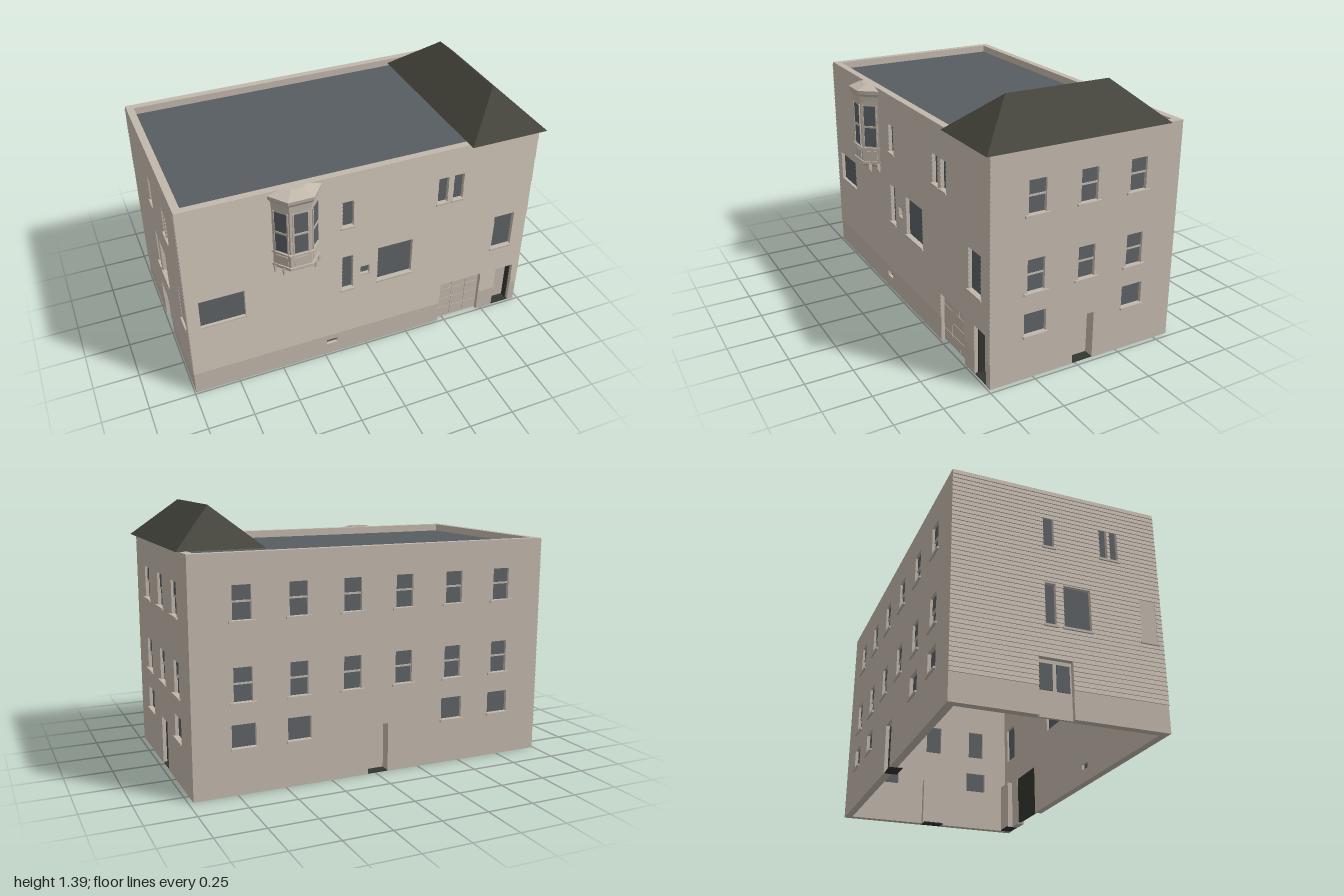
import * as THREE from 'three';
import { mergeGeometries } from 'three/addons/utils/BufferGeometryUtils.js';

const mat = (name, color) => Object.assign(new THREE.MeshStandardMaterial({ color }), { name });
const T = 0.04; // wall thickness
const H = 1.19; // parapet height

export function createModel() {
  const beige = mat('beige render', 0xc2b8ac);
  const glass = mat('window glass', 0x5d6266);
  const deck = mat('flat roof grey', 0x585d61);
  const tile = mat('dark roof tile', 0x45453d);
  const dark = mat('dark door trim', 0x33352f);

  const model = new THREE.Group();
  model.name = 'building';

  function add(parent, name, geometry, material) {
    const mesh = new THREE.Mesh(geometry, material);
    mesh.name = name;
    parent.add(mesh);
    return mesh;
  }
  // Box given by its extents
  function box(parent, name, material, x0, x1, y0, y1, z0, z1) {
    const g = new THREE.BoxGeometry(x1 - x0, y1 - y0, z1 - z0);
    g.translate((x0 + x1) / 2, (y0 + y1) / 2, (z0 + z1) / 2);
    return add(parent, name, g, material);
  }
  // Flat-faced solid through rings of [x, z] points, each ring at its own height
  function loft(rings) {
    const pos = [];
    const n = rings[0].pts.length;
    const put = (r, i) => pos.push(r.pts[i % n][0], r.y, r.pts[i % n][1]);
    for (let k = 0; k + 1 < rings.length; k++) {
      const a = rings[k], b = rings[k + 1];
      for (let i = 0; i < n; i++) {
        put(a, i); put(a, i + 1); put(b, i + 1);
        put(a, i); put(b, i + 1); put(b, i);
      }
    }
    const top = rings[rings.length - 1];
    for (let i = 1; i + 1 < n; i++) {
      put(top, 0); put(top, i); put(top, i + 1);
      put(rings[0], 0); put(rings[0], i + 1); put(rings[0], i);
    }
    const g = new THREE.BufferGeometry();
    g.setAttribute('position', new THREE.Float32BufferAttribute(pos, 3));
    g.computeVertexNormals();
    return g;
  }

  // Overlapping boards, interrupted at every opening
  function siding(parent, x0, x1, openings) {
    const pitch = 0.0233, parts = [];
    for (let y = 0.14; y + pitch < H; y += pitch) {
      const mid = y + pitch / 2;
      const cuts = openings.filter(o => mid > o[2] - 0.008 && mid < o[3]).sort((a, b) => a[0] - b[0]);
      let x = x0;
      for (const c of [...cuts, [x1, x1]]) {
        if (c[0] - x > 0.001) {
          const g = new THREE.BoxGeometry(c[0] - x, pitch, 0.005);
          const p = g.attributes.position;
          for (let i = 0; i < p.count; i++) if (p.getY(i) > 0) p.setZ(i, -0.0025);
          g.computeVertexNormals();
          g.translate((x + c[0]) / 2, mid, 0.0025);
          parts.push(g);
        }
        x = c[1];
      }
    }
    add(parent, 'siding', mergeGeometries(parts), beige);
  }

  // Wall in its own frame: x to the right seen from outside, +z outward.
  // windows: [x0, x1, y0, y1, sill overhang, has sash rail]; doors: [x0, x1, 0, y1, kind]
  function wall(name, rotY, px, pz, x0, x1, inset, windows, doors, boarded) {
    const g = new THREE.Group();
    g.name = name;
    g.rotation.y = rotY;
    g.position.set(px, 0, pz);
    model.add(g);

    const s = new THREE.Shape();
    s.moveTo(x0 + inset, 0);
    for (const [a, b, , top] of doors) {
      s.lineTo(a, 0); s.lineTo(a, top); s.lineTo(b, top); s.lineTo(b, 0);
    }
    s.lineTo(x1 - inset, 0); s.lineTo(x1 - inset, H); s.lineTo(x0 + inset, H); s.closePath();
    for (const [a, b, c, d] of windows) {
      const h = new THREE.Path();
      h.moveTo(a, c); h.lineTo(a, d); h.lineTo(b, d); h.lineTo(b, c); h.closePath();
      s.holes.push(h);
    }
    const geo = new THREE.ExtrudeGeometry(s, { depth: T, bevelEnabled: false });
    geo.translate(0, 0, -T);
    add(g, name + ' shell', geo, beige);
    if (boarded) siding(g, x0, x1, [...windows, ...doors]);

    for (const [a, b, c, d, sill, rail] of windows) {
      const m = (c + d) / 2 + 0.005;
      box(g, 'windowPane', glass, a, b, c, d, -0.026, -0.018);
      if (rail) {
        box(g, 'sashRail', beige, a, b, m - 0.005, m + 0.005, -0.018, -0.01);
        box(g, 'upperSash', glass, a, b, m + 0.005, d, -0.018, -0.013);
      }
      if (sill) box(g, 'windowSill', beige, a - sill, b + sill, c - 0.011, c, -0.015, 0.011);
    }

    for (const [a, b, , top, kind] of doors) {
      if (kind === 'garage') {
        box(g, 'garageDoor', dark, a, b, 0.005, top, -0.038, -0.025);
        const w = (b - a) / 3, h = (top - 0.005) / 4;
        for (let i = 0; i < 3; i++) for (let j = 0; j < 4; j++)
          box(g, 'garagePanel', beige, a + i * w + 0.001, a + (i + 1) * w - 0.001,
            0.006 + j * h, 0.004 + (j + 1) * h, -0.025, -0.019);
      } else if (kind === 'glazed') {
        box(g, 'doubleDoor', beige, a, b, 0, top, -0.036, -0.022);
        const w = (b - a) / 2;
        for (let i = 0; i < 2; i++)
          box(g, 'doorGlass', glass, a + i * w + 0.01, a + (i + 1) * w - 0.01, 0.13, top - 0.02, -0.023, -0.018);
      } else {
        // Recessed entrance with a dark side strip and threshold
        box(g, 'entranceDoor', beige, a, b, 0.006, top, -0.07, -0.055);
        box(g, 'doorStrip', dark, a, a + 0.007, 0.006, top - 0.004, -0.055, -0.02);
        if (kind === 'twoStrips') box(g, 'doorStrip', dark, b - 0.007, b, 0.006, top - 0.004, -0.055, -0.02);
        box(g, 'threshold', dark, a, b, 0, 0.006, -0.07, -0.004);
        for (const x of [a - 0.008, b]) box(g, 'doorJamb', beige, x, x + 0.008, 0, top, -0.07, -T);
        box(g, 'doorHead', beige, a - 0.008, b + 0.008, top, top + 0.008, -0.07, -T);
      }
    }
    return g;
  }

  // Columns of sash windows on two floors, plus small ground-floor ones
  function sashGrid(centres, groundCentres) {
    const list = [];
    for (const c of centres)
      for (const [y0, y1] of [[0.868, 1.037], [0.468, 0.64]])
        list.push([c - 0.048, c + 0.048, y0, y1, 0.02, true]);
    for (const c of groundCentres) list.push([c - 0.062, c + 0.062, 0.24, 0.358, 0.006, false]);
    return list;
  }

  const front = wall('frontWall', 0, 0, 0.49, -0.993, 0.975, 0, [
    [-0.928, -0.687, 0.45, 0.622, 0, false],
    [-0.15, -0.088, 0.866, 1.037, 0.01, false],
    [0.393, 0.452, 0.866, 1.037, 0.008, false],
    [0.484, 0.543, 0.866, 1.037, 0.008, false],
    [-0.15, -0.088, 0.449, 0.668, 0.01, false],
    [0.056, 0.26, 0.449, 0.668, 0.008, false],
    [0.767, 0.89, 0.449, 0.668, 0.008, false],
    [-0.045, 0.008, 0.52, 0.572, 0, false],
    [-0.238, -0.174, 0.07, 0.102, 0, false],
  ], [[0.46, 0.72, 0, 0.285, 'garage'], [0.822, 0.935, 0, 0.278, 'twoStrips']], true);

  wall('rightWall', Math.PI / 2, 0.975, 0, -0.49, 0.585, T,
    sashGrid([-0.243, 0.045, 0.333], [-0.243, 0.333]), [[-0.017, 0.103, 0, 0.262, 'entrance']], false);

  const columns = [-0.715, -0.425, -0.135, 0.157, 0.45, 0.742];
  wall('backWall', Math.PI, 0, -0.585, -0.975, 0.993, 0,
    sashGrid(columns, [0, 1, 4, 5].map(i => columns[i])), [[-0.045, 0.07, 0, 0.262, 'entrance']], false);

  wall('leftWall', -Math.PI / 2, -0.993, 0, -0.585, 0.49, T, [
    [-0.125, -0.07, 0.866, 1.037, 0.008, false],
    [0.175, 0.217, 0.866, 1.037, 0.006, false],
    [0.232, 0.274, 0.866, 1.037, 0.006, false],
    [-0.125, -0.07, 0.449, 0.668, 0.008, false],
    [-0.03, 0.11, 0.449, 0.668, 0.008, false],
    [0.375, 0.46, 0.449, 0.668, 0.008, false],
  ], [[-0.165, 0.005, 0, 0.28, 'glazed']], true);

  // Flat roof behind the parapet
  box(model, 'flatRoof', deck, -0.956, 0.938, 1.135, 1.15, -0.548, 0.453);

  // Hipped roof over the right end
  const ridge = 0.778;
  add(model, 'hippedRoof', loft([
    { y: 1.193, pts: [[0.557, -0.497], [0.557, 0.524], [1, 0.524], [1, -0.497]] },
    { y: 1.393, pts: [[ridge, -0.272], [ridge, 0.305], [ridge, 0.305], [ridge, -0.272]] },
  ]), tile);

  // Bay window: stacked trapezoid sections [height, half width at wall, half width in front, depth]
  const bay = new THREE.Group();
  bay.name = 'bayWindow';
  bay.position.set(-0.403, 0, 0.004);
  front.add(bay);
  const section = ([y, b, f, d]) => ({ y, pts: [[-b, 0], [-f, d], [f, d], [b, 0]] });
  const bayPart = (name, rows) => add(bay, name, loft(rows.map(section)), beige);
  bayPart('bayBody', [[0.75, 0.122, 0.056, 0.076], [1.13, 0.122, 0.056, 0.076]]);
  bayPart('bayBase', [[0.722, 0.095, 0.035, 0.05], [0.735, 0.115, 0.05, 0.07],
    [0.745, 0.128, 0.06, 0.083], [0.762, 0.128, 0.06, 0.083]]);
  bayPart('baySill', [[0.834, 0.13, 0.062, 0.086], [0.844, 0.13, 0.062, 0.086]]);
  bayPart('bayCornice', [[1.105, 0.124, 0.058, 0.079], [1.14, 0.126, 0.06, 0.082],
    [1.155, 0.138, 0.066, 0.091], [1.175, 0.14, 0.067, 0.094], [1.198, 0.06, 0.03, 0.03]]);

  // Glazing on the three bay faces
  const turn = Math.atan2(0.076, 0.066);
  for (const [x, z, angle, w] of [[0, 0.076, 0, 0.072], [0.089, 0.038, turn, 0.068], [-0.089, 0.038, -turn, 0.068]]) {
    const face = new THREE.Group();
    face.name = 'bayGlazing';
    face.position.set(x, 0, z);
    face.rotation.y = angle;
    bay.add(face);
    box(face, 'lowerPane', glass, -w / 2, w / 2, 0.85, 0.96, 0, 0.002);
    box(face, 'upperPane', glass, -w / 2, w / 2, 0.972, 1.085, 0, 0.003);
    box(face, 'bayRail', beige, -w / 2, w / 2, 0.96, 0.972, 0, 0.006);
    for (const s of [-1, 1])
      box(face, 'bayStile', beige, s * (w / 2 + 0.004) - 0.004, s * (w / 2 + 0.004) + 0.004, 0.844, 1.09, 0, 0.006);
    box(face, 'bayApron', beige, -w / 2, w / 2, 0.775, 0.822, 0, 0.004);
  }

  // Small brackets under the bay corners
  for (const s of [-1, 1])
    for (const [x, z] of [[0.118, 0.006], [0.085, 0.045]]) {
      box(bay, 'bayBracket', beige, s * x - 0.005, s * x + 0.005, 0.715, 0.75, z - 0.006, z + 0.012);
      box(bay, 'bracketFoot', beige, s * x - 0.003, s * x + 0.003, 0.702, 0.715, z - 0.006, z + 0.004);
    }

  return model;
}
